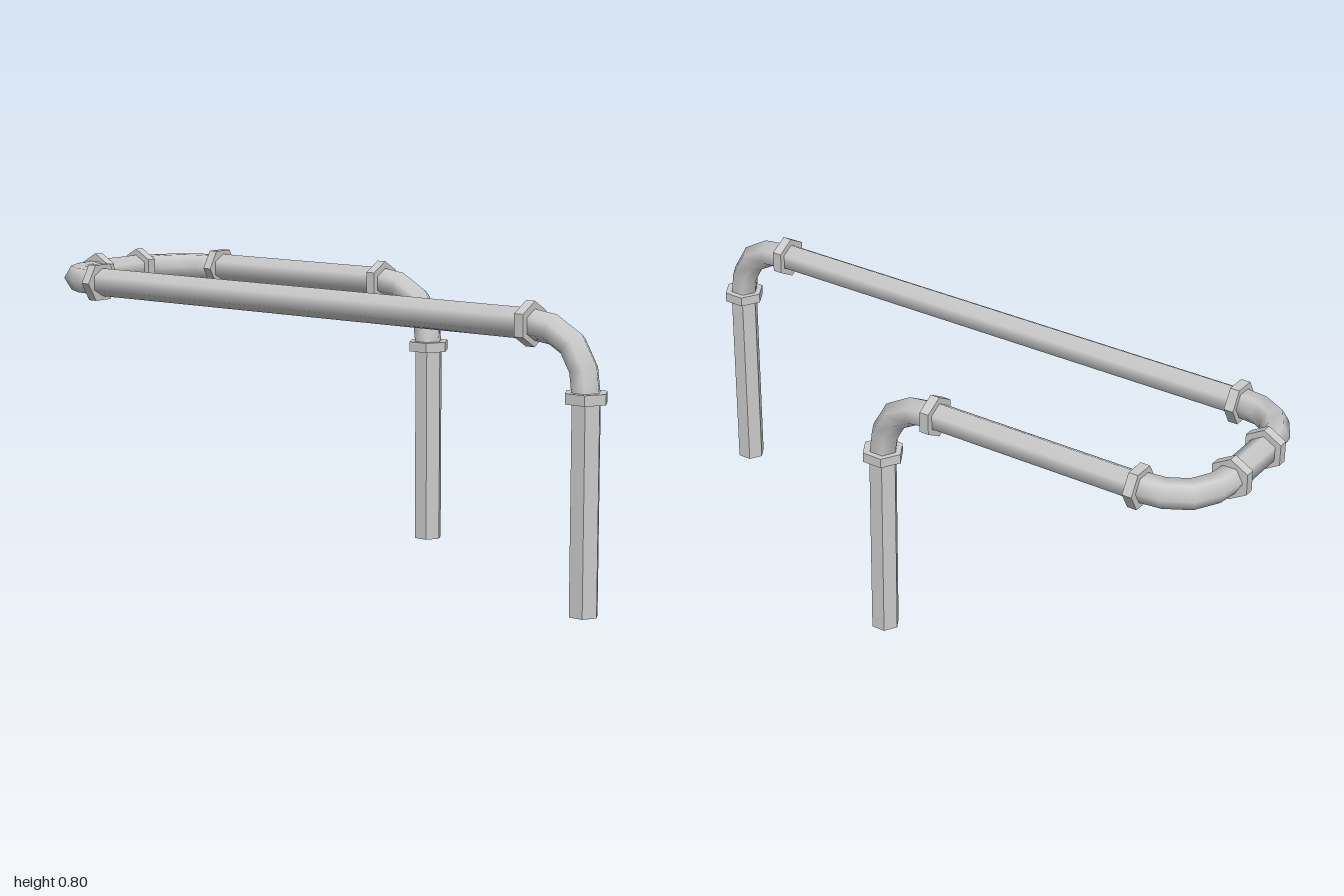
import * as THREE from 'three';
import { mergeVertices } from 'three/addons/utils/BufferGeometryUtils.js';

const R = 0.041;         // hexagonal pipe, to its corners
const COLLAR_R = 0.06;
const COLLAR_T = 0.028;
const BEND = 0.175;      // distance from a bend's corner to its ends
const X = 0.264, Y = 0.743, BACK = -0.948;

const v = (x, y, z) => new THREE.Vector3(x, y, z);
const UP = v(0, 1, 0), DOWN = v(0, -1, 0), RIGHT = v(1, 0, 0), FRONT = v(0, 0, 1), REAR = v(0, 0, -1);

export function createModel() {
  const group = new THREE.Group();
  const smooth = new THREE.MeshStandardMaterial({ color: 0xcccccc });
  const flat = new THREE.MeshStandardMaterial({ color: 0xcccccc, flatShading: true });

  // Places a geometry with its local y along yDir and its local z along zDir
  function place(name, geometry, material, position, yDir, zDir) {
    const xDir = yDir.clone().cross(zDir);
    geometry.applyMatrix4(new THREE.Matrix4().makeBasis(xDir, yDir, zDir));
    const mesh = new THREE.Mesh(geometry, material);
    mesh.name = name;
    mesh.position.copy(position);
    group.add(mesh);
  }

  // Straight six-sided pipe; one of its edges faces edgeDir
  function pipe(name, from, to, edgeDir, material) {
    const dir = to.clone().sub(from);
    const geometry = new THREE.CylinderGeometry(R, R, dir.length(), 6);
    place(name, geometry, material, from.clone().lerp(to, 0.5), dir.normalize(), edgeDir);
  }

  function collar(name, position, axis, edgeDir) {
    place(name, new THREE.CylinderGeometry(COLLAR_R, COLLAR_R, COLLAR_T, 6), flat, position, axis, edgeDir);
  }

  // Six-sided tube bent around a corner, with arms running along dirA and dirB
  function elbow(name, corner, dirA, dirB) {
    const curve = new THREE.QuadraticBezierCurve3(v(0, -BEND, 0), v(0, 0, 0), v(0, 0, -BEND));
    let geometry = new THREE.CylinderGeometry(R, R, 1, 6, 4, true);
    const pos = geometry.attributes.position;
    for (let i = 0; i < pos.count; i++) {
      const u = THREE.MathUtils.clamp(pos.getY(i) + 0.5, 0, 1);
      const p = curve.getPointAt(u), t = curve.getTangentAt(u), z = pos.getZ(i);
      pos.setXYZ(i, pos.getX(i), p.y - t.z * z, p.z + t.y * z);
    }
    geometry.deleteAttribute('uv');
    geometry.deleteAttribute('normal');
    geometry = mergeVertices(geometry, 1e-5);
    geometry.computeVertexNormals();
    place(name, geometry, smooth, corner, dirA.clone().negate(), dirB.clone().negate());
  }

  // Long rail on one side, short rail on the other
  for (const [side, s, legZ] of [['right', -1, 0.94], ['left', 1, 0.037]]) {
    const x = s * X, legTop = Y - BEND;
    const frontEnd = v(x, Y, legZ - BEND), backEnd = v(x, Y, BACK + BEND);
    const inward = v(-s, 0, 0);

    // Leg and the bend above it
    pipe(side + 'Leg', v(x, 0, legZ), v(x, legTop, legZ), FRONT, flat);
    collar(side + 'LegCollar', v(x, legTop, legZ), UP, FRONT);
    elbow(side + 'FrontElbow', v(x, Y, legZ), DOWN, REAR);

    // Rail running to the back
    collar(side + 'RailFrontCollar', frontEnd, FRONT, UP);
    pipe(side + 'Rail', frontEnd, backEnd, UP, smooth);
    collar(side + 'RailBackCollar', backEnd, FRONT, RIGHT);

    // Bend into the back crossbar
    elbow(side + 'BackElbow', v(x, Y, BACK), FRONT, inward);
    collar(side + 'CrossbarCollar', v(s * (X - BEND), Y, BACK), RIGHT, UP);
  }

  // Short crossbar joining the two sides
  pipe('crossbar', v(BEND - X, Y, BACK), v(X - BEND, Y, BACK), UP, smooth);

  return group;
}
